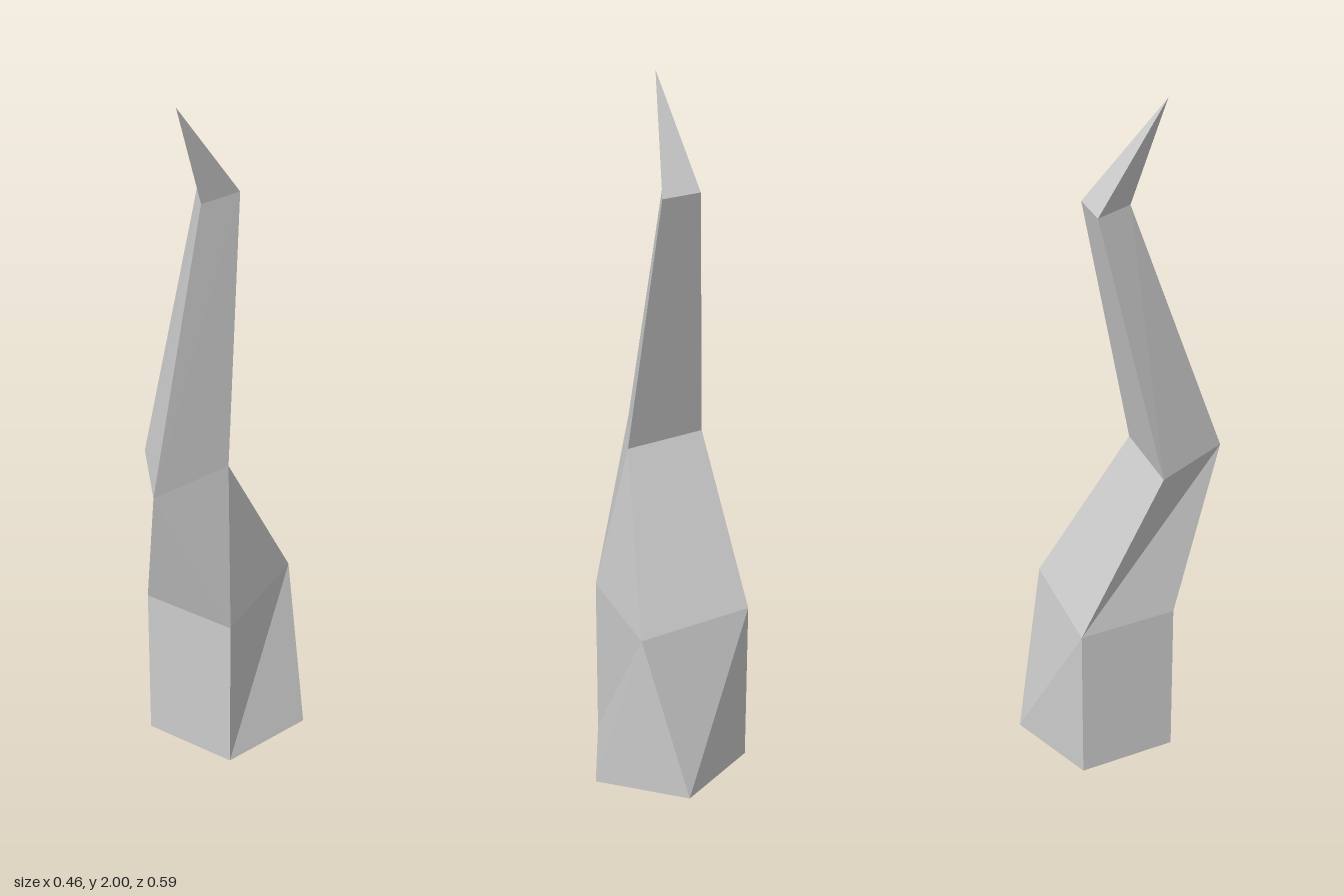
import * as THREE from 'three';

// Cross-sections from base to tip, each five [x, z] corners, counter-clockwise
// from above. Repeated corners merge edges, so the sides narrow from five to
// four to three.
const fiveToThree = (a, c, b) => [a, c, c, b, b];
const left = [-0.232, -0.13], frontLeft = [-0.144, 0.146], frontRight = [0.142, 0.146];
const right = [0.231, -0.13], back = [0, -0.296], backMid = [0.116, -0.213];
const tip = [-0.037, 0.126];

const sections = [
  { y: 0, pts: [left, frontLeft, frontRight, right, back] },
  { y: 0.493, pts: [left, frontLeft, frontRight, backMid, backMid] },
  { y: 0.96, pts: fiveToThree([-0.17, 0.107], [-0.01, 0.294], [0.07, 0.048]) },
  { y: 1.713, pts: fiveToThree([-0.1, -0.06], [-0.026, 0.034], [0.015, -0.088]) },
  { y: 2, pts: [tip, tip, tip, tip, tip] },
];

function loft(rings) {
  const pos = [];
  const corners = rings.map(({ y, pts }) => pts.map(([x, z]) => new THREE.Vector3(x, y, z)));
  const tri = (a, b, c) => {
    if (a.equals(b) || b.equals(c) || c.equals(a)) return; // merged edge
    for (const p of [a, b, c]) pos.push(p.x, p.y, p.z);
  };
  // Side walls
  for (let r = 0; r < corners.length - 1; r++) {
    const low = corners[r], high = corners[r + 1], n = low.length;
    for (let i = 0; i < n; i++) {
      const j = (i + 1) % n;
      tri(low[i], low[j], high[j]);
      tri(low[i], high[j], high[i]);
    }
  }
  // Flat underside
  const base = corners[0];
  for (let i = 1; i < base.length - 1; i++) tri(base[0], base[i + 1], base[i]);

  const geo = new THREE.BufferGeometry();
  geo.setAttribute('position', new THREE.Float32BufferAttribute(pos, 3));
  geo.computeVertexNormals();
  return geo;
}

export function createModel() {
  const group = new THREE.Group();
  group.name = 'crookedSpike';
  const material = new THREE.MeshStandardMaterial({ color: 0xcccccc, flatShading: true });
  const spike = new THREE.Mesh(loft(sections), material);
  spike.name = 'spike';
  group.add(spike);
  return group;
}
